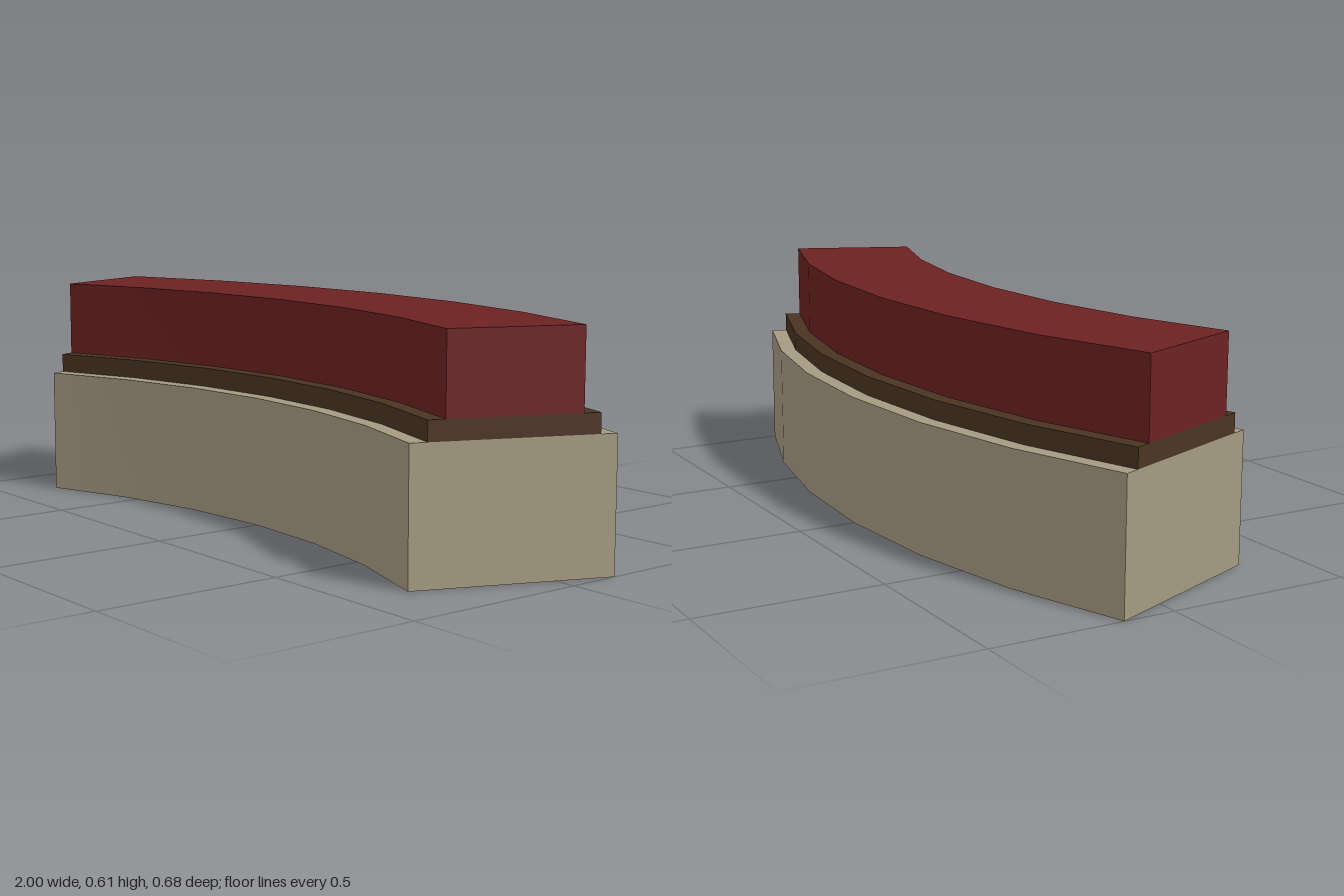
import * as THREE from 'three';
import { toCreasedNormals } from 'three/addons/utils/BufferGeometryUtils.js';

const CENTRE_Z = 2.273;          // centre of the arc, in front of the wall
const HALF_ANGLE = Math.PI / 8;  // the wall spans 45 degrees
const SEGMENTS = 6;

// Curved block between two radii, standing from y0 to y1
function arcBlock(name, inner, outer, y0, y1, material) {
  const points = [];
  const addArc = (radius, direction) => {
    for (let i = 0; i <= SEGMENTS; i++) {
      const a = direction * HALF_ANGLE * (2 * i / SEGMENTS - 1);
      points.push(new THREE.Vector2(radius * Math.sin(a), radius * Math.cos(a) - CENTRE_Z));
    }
  };
  addArc(inner, 1);
  addArc(outer, -1);
  const extruded = new THREE.ExtrudeGeometry(new THREE.Shape(points), { depth: y1 - y0, bevelEnabled: false });
  extruded.rotateX(-Math.PI / 2);
  extruded.translate(0, y0, 0);
  const mesh = new THREE.Mesh(toCreasedNormals(extruded, Math.PI / 6), material);
  mesh.name = name;
  return mesh;
}

function makeMaterial(name, color) {
  const material = new THREE.MeshStandardMaterial({ color });
  material.name = name;
  return material;
}

export function createModel() {
  const stone = makeMaterial('stone', 0xa59a82);
  const wood = makeMaterial('dark wood', 0x4a3423);
  const red = makeMaterial('deep red', 0x6c2222);

  const group = new THREE.Group();
  group.name = 'curvedBench';
  group.add(
    arcBlock('stoneBase', 2.09, 2.613, 0, 0.349, stone),
    arcBlock('woodTrim', 2.135, 2.569, 0.349, 0.401, wood),
    arcBlock('cushion', 2.179, 2.525, 0.401, 0.61, red),
  );
  return group;
}
